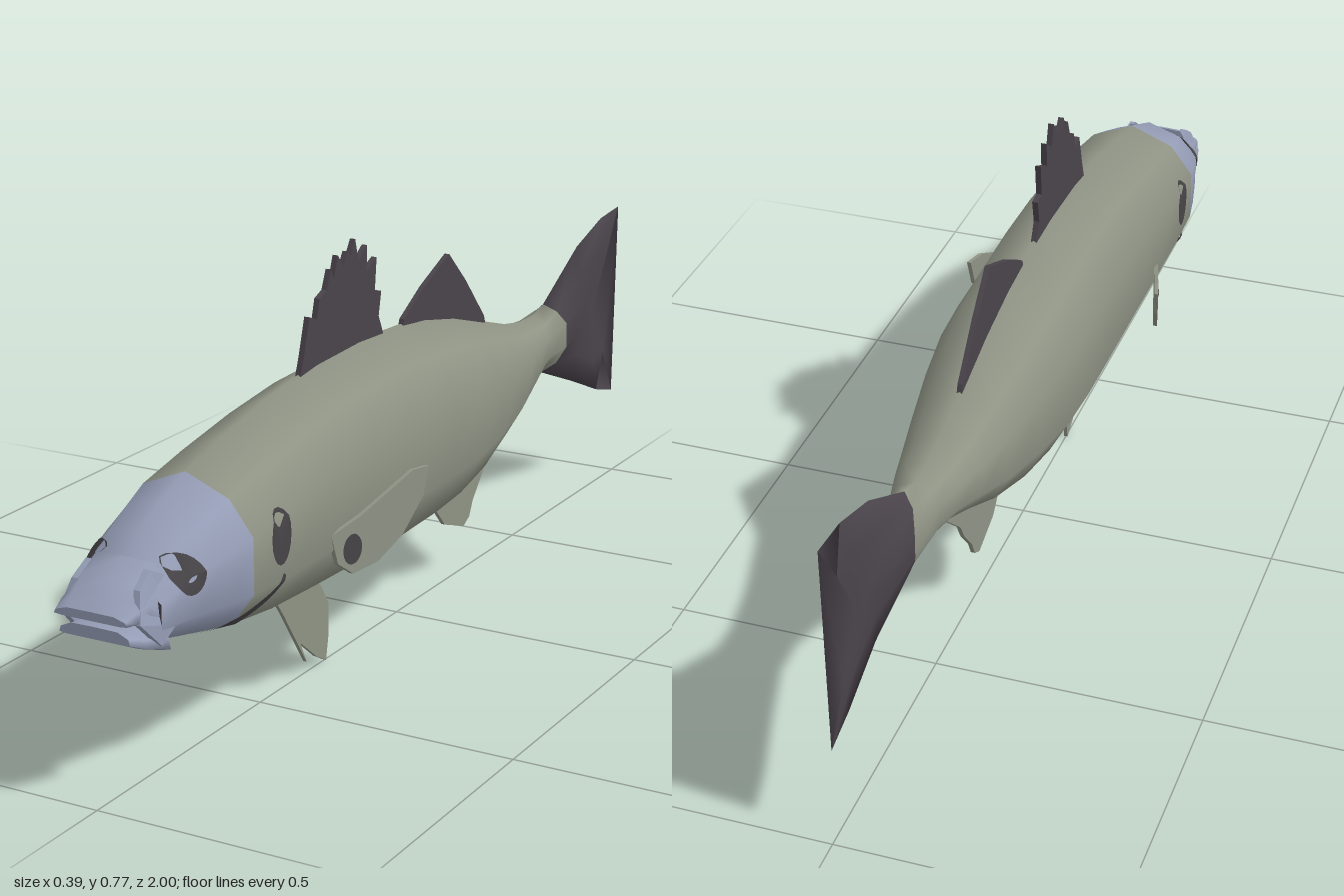
import * as THREE from 'three';

const mat = (name, color, side = THREE.FrontSide) => {
  const m = new THREE.MeshStandardMaterial({ color, side });
  m.name = name;
  return m;
};

// Body stations: z, top, bottom, half width
const STATIONS = [
  [0.925, 0.385, 0.262, 0.085], [0.85, 0.44, 0.24, 0.105], [0.78, 0.47, 0.222, 0.12],
  [0.72, 0.495, 0.208, 0.13], [0.6, 0.525, 0.188, 0.131], [0.45, 0.555, 0.176, 0.131],
  [0.3, 0.575, 0.168, 0.131], [0.15, 0.58, 0.166, 0.131], [0, 0.573, 0.172, 0.131],
  [-0.1, 0.562, 0.182, 0.128], [-0.22, 0.537, 0.205, 0.114], [-0.35, 0.498, 0.25, 0.093],
  [-0.45, 0.468, 0.302, 0.074], [-0.52, 0.456, 0.332, 0.06], [-0.58, 0.454, 0.338, 0.046],
];
const HEAD_SEGMENTS = 3;
// Half sections, top to bottom, in unit coordinates
const BODY_HALF = [[0, 1], [0.65, 0.76], [1, 0.35], [1, -0.35], [0.67, -0.76], [0, -1]];
const JAW_HALF = [[0, 1], [0.65, 0.95], [0.95, 0.1], [1, -0.8], [0.8, -1], [0, -1]];

const section = ([z, top, bottom, w], half) =>
  half.map(([u, v]) => [u * w, (top + bottom) / 2 + v * (top - bottom) / 2, z]);

// Skin over mirrored half rings running from front to back
function loft(halves, groupEnds) {
  const rings = halves.map(h => [...h, ...h.slice(1, -1).reverse().map(([x, y, z]) => [-x, y, z])]);
  const n = rings[0].length, pos = rings.flat(2), index = [], ends = [];
  for (let i = 0; i < rings.length - 1; i++) {
    for (let j = 0; j < n; j++) {
      const a = i * n + j, b = i * n + (j + 1) % n;
      index.push(a, b, a + n, b, b + n, a + n);
    }
    ends.push(index.length);
  }
  // Flat end caps with their own vertices
  const cap = (ring, flip) => {
    const base = pos.length / 3;
    pos.push(...ring.flat());
    for (let j = 1; j < n - 1; j++) index.push(base, base + (flip ? j + 1 : j), base + (flip ? j : j + 1));
  };
  cap(rings[0], true);
  cap(rings[rings.length - 1], false);
  const g = new THREE.BufferGeometry();
  g.setAttribute('position', new THREE.Float32BufferAttribute(pos, 3));
  g.setIndex(index);
  g.computeVertexNormals();
  if (groupEnds) {
    let start = 0;
    groupEnds.forEach((seg, k) => {
      const end = seg === null ? index.length : ends[seg - 1];
      g.addGroup(start, end - start, k);
      start = end;
    });
  }
  return g;
}

// Half width of the body at a given z and y
function surfaceX(z, y) {
  let i = 0;
  while (i < STATIONS.length - 2 && STATIONS[i + 1][0] > z) i++;
  const a = STATIONS[i], b = STATIONS[i + 1], t = (a[0] - z) / (a[0] - b[0]);
  const h = section(a.map((v, k) => v + (b[k] - v) * t), BODY_HALF);
  for (let j = 0; j < h.length - 1; j++) {
    if (y <= h[j][1] && y >= h[j + 1][1])
      return h[j][0] + (h[j + 1][0] - h[j][0]) * (h[j][1] - y) / (h[j][1] - h[j + 1][1]);
  }
  return 0;
}

// Plate from a side outline of [z, y] points
function plate(points, thickness) {
  const shape = new THREE.Shape(points.map(p => new THREE.Vector2(...p)));
  const g = new THREE.ExtrudeGeometry(shape, { depth: thickness, bevelEnabled: false });
  return g.rotateY(-Math.PI / 2).translate(thickness / 2, 0, 0);
}

// Move every vertex sideways by a rule of z and y
function shiftX(g, rule) {
  const p = g.attributes.position;
  for (let i = 0; i < p.count; i++) p.setX(i, p.getX(i) + rule(p.getZ(i), p.getY(i)));
  g.computeVertexNormals();
  return g;
}

const disc = (z, y, rz, ry) =>
  new THREE.CircleGeometry(1, 18).scale(rz, ry, 1).rotateY(Math.PI / 2).translate(0, y, z);

// Curved band along [z, y] points
function band(points, width) {
  const curve = new THREE.CatmullRomCurve3(points.map(([z, y]) => new THREE.Vector3(0, y, z)));
  const g = new THREE.PlaneGeometry(1, 1, 20, 2), p = g.attributes.position;
  for (let i = 0; i < p.count; i++) {
    const t = p.getX(i) + 0.5, c = curve.getPoint(t), d = curve.getTangent(t);
    const o = p.getY(i) * width * (0.45 + 0.55 * Math.sin(Math.PI * t));
    p.setXYZ(i, 0, c.y + d.z * o, c.z - d.y * o);
  }
  return g;
}

export function createModel() {
  const fish = new THREE.Group();
  fish.name = 'fish';
  const D = THREE.DoubleSide;
  const bodyMat = mat('olive grey skin', 0x8f9384, D);
  const headMat = mat('blue grey head', 0x959db6, D);
  const finMat = mat('dark fin', 0x4a434b, D);
  const spotMat = mat('dark marking', 0x464346, D);
  const add = (name, geometry, material, parent = fish) => {
    const m = new THREE.Mesh(geometry, material);
    m.name = name;
    parent.add(m);
    return m;
  };

  // Head, body and forked tail share one smooth skin
  const tailRoot = section([0, 0.468, 0.322, 0.034], BODY_HALF);
  [-0.63, -0.65, -0.675, -0.675, -0.65, -0.625].forEach((z, i) => { tailRoot[i][2] = z; });
  const tailMid = [[0, 0.557, -0.79], [0.006, 0.49, -0.79], [0.011, 0.425, -0.79],
    [0.011, 0.375, -0.79], [0.006, 0.32, -0.785], [0, 0.263, -0.78]];
  const tailFar = [[0, 0.595, -0.91], [0.004, 0.515, -0.88], [0.005, 0.43, -0.85],
    [0.005, 0.375, -0.85], [0.004, 0.285, -0.88], [0, 0.212, -0.905]];
  const tailEdge = [[0, 0.603, -1], [0.003, 0.51, -0.937], [0.003, 0.42, -0.882],
    [0.003, 0.38, -0.88], [0.003, 0.29, -0.93], [0, 0.19, -0.985]];
  const rings = [...STATIONS.map(s => section(s, BODY_HALF)), tailRoot, tailMid, tailFar, tailEdge];
  add('headBodyAndTail', loft(rings, [HEAD_SEGMENTS, STATIONS.length, null]), [headMat, bodyMat, finMat]);

  // Open mouth
  add('upperJaw', loft([[0.9, 0.405, 0.295, 0.086], [0.945, 0.383, 0.309, 0.08],
    [0.975, 0.362, 0.324, 0.076], [1, 0.343, 0.328, 0.07]].map(s => section(s, JAW_HALF))), headMat);
  add('lowerJaw', loft([[0.99, 0.314, 0.293, 0.068], [0.955, 0.307, 0.276, 0.076],
    [0.9, 0.302, 0.256, 0.084]].reverse().map(s => section(s, JAW_HALF)).reverse()), headMat);

  // Upright and lower fins on the centre line
  add('spinyDorsalFin', plate([[0.36, 0.56], [0.345, 0.6], [0.325, 0.665], [0.3, 0.655], [0.29, 0.69],
    [0.265, 0.70], [0.25, 0.735], [0.24, 0.715], [0.225, 0.755], [0.205, 0.73], [0.19, 0.755],
    [0.18, 0.745], [0.163, 0.772], [0.152, 0.73], [0.12, 0.752], [0.122, 0.705], [0.085, 0.722],
    [0.092, 0.66], [0.068, 0.655], [0.078, 0.61], [0.055, 0.56]], 0.011), finMat);
  add('softDorsalFin', plate([[-0.01, 0.55], [-0.02, 0.58], [-0.1, 0.625], [-0.2, 0.667],
    [-0.27, 0.6], [-0.35, 0.51], [-0.36, 0.48], [-0.2, 0.5]], 0.01), finMat);
  add('analFin', plate([[-0.12, 0.21], [-0.135, 0.18], [-0.19, 0.12], [-0.27, 0.092], [-0.295, 0.105],
    [-0.31, 0.135], [-0.35, 0.18], [-0.37, 0.215], [-0.45, 0.285], [-0.41, 0.31], [-0.3, 0.26]], 0.008), bodyMat);
  add('pelvicFin', plate([[0.46, 0.19], [0.42, 0.135], [0.345, 0.022], [0.365, 0.065], [0.31, 0.02],
    [0.275, 0], [0.265, 0.05], [0.265, 0.11], [0.29, 0.15], [0.33, 0.19]], 0.007), bodyMat);

  // Paired parts
  const onSkin = (z, y) => surfaceX(z, y) + 0.004;
  const splay = z => 0.13 + (0.46 - z) * 0.28;
  for (const [name, s] of [['left', 1], ['right', -1]]) {
    const side = new THREE.Group();
    side.name = name + 'Side';
    side.scale.x = s;
    fish.add(side);
    add(name + 'PectoralFin', shiftX(plate([[0.47, 0.325], [0.4, 0.345], [0.275, 0.398], [0.237, 0.397],
      [0.25, 0.345], [0.3, 0.285], [0.36, 0.25], [0.42, 0.243], [0.455, 0.27]], 0.008), splay), bodyMat, side);
    add(name + 'PectoralSpot', shiftX(disc(0.424, 0.29, 0.022, 0.028), z => splay(z) + 0.007), spotMat, side);
    add(name + 'Eye', shiftX(disc(0.862, 0.377, 0.029, 0.033), onSkin), spotMat, side);
    add(name + 'GillSpot', shiftX(disc(0.638, 0.378, 0.03, 0.05), onSkin), spotMat, side);
    add(name + 'GillSlit', shiftX(band([[0.63, 0.31], [0.65, 0.278], [0.7, 0.255], [0.79, 0.242]], 0.02),
      onSkin), spotMat, side);
    // Cheek plate beside the mouth
    add(name + 'CheekPlate', shiftX(plate([[0.975, 0.325], [0.955, 0.375], [0.92, 0.398], [0.885, 0.38],
      [0.89, 0.30], [0.925, 0.275]], 0.012), (z, y) => 0.083 - (z - 0.89) * 0.12 - Math.max(0, y - 0.33) * 0.35),
    headMat, side);
  }
  return fish;
}
